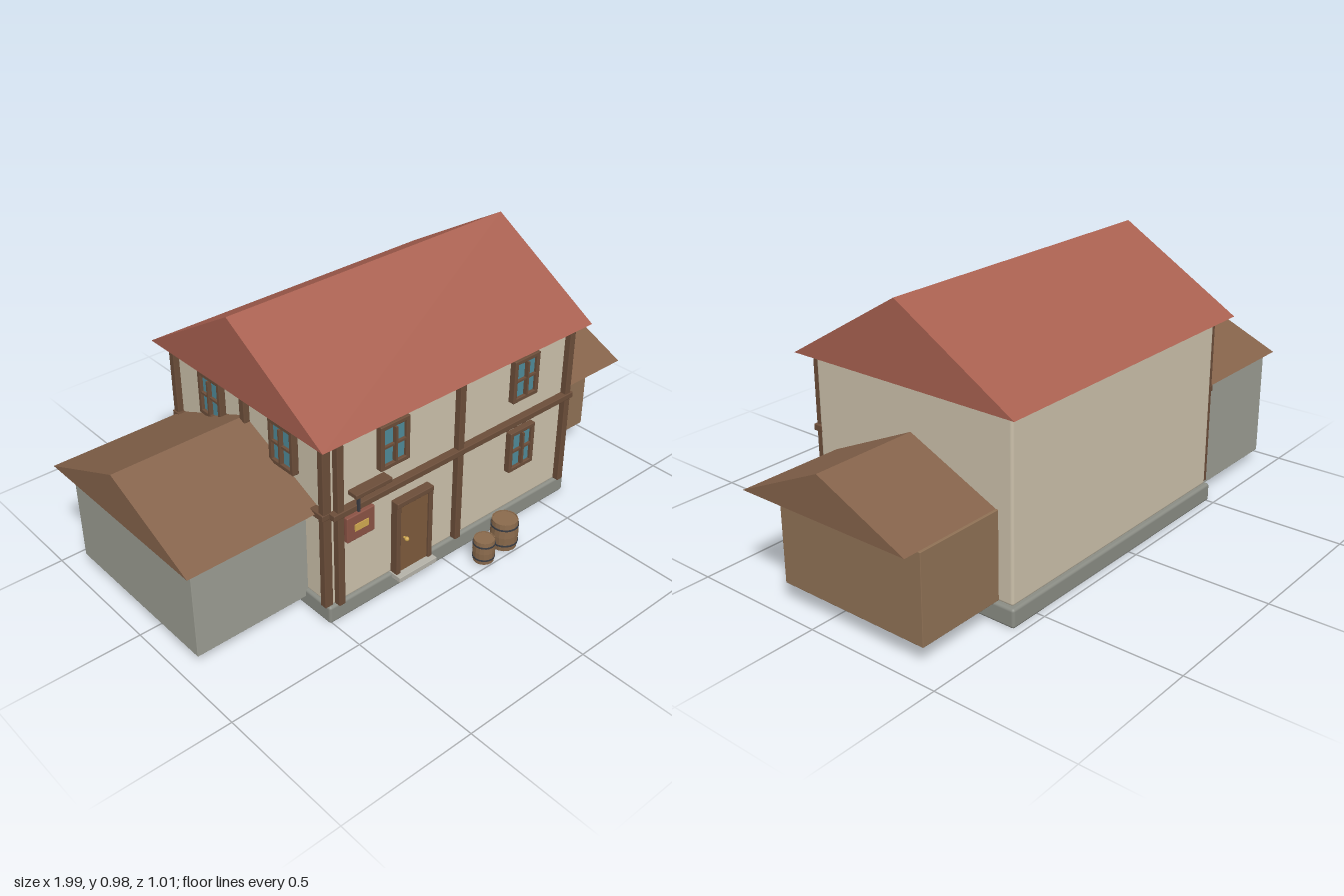
import * as THREE from 'three';
import { RoundedBoxGeometry } from 'three/addons/geometries/RoundedBoxGeometry.js';

const mat = (color) => new THREE.MeshStandardMaterial({ color });
const M = {
  plaster: mat(0xcbc0aa), stone: mat(0x8a8c84), greyWall: mat(0x9b9c92), roof: mat(0xa86050),
  shed: mat(0x8f7155), shedRoof: mat(0x84624a), timber: mat(0x6b4d39), door: mat(0x7d5a3c),
  glass: mat(0x4f8a98), sign: mat(0x8a5244), gold: mat(0xd0a850), iron: mat(0x3a3c42),
  step: mat(0xb4b2a8), barrel: mat(0x8a6a4c),
};

function add(parent, name, geometry, material, x = 0, y = 0, z = 0) {
  const mesh = new THREE.Mesh(geometry, material);
  mesh.name = name;
  mesh.position.set(x, y, z);
  parent.add(mesh);
  return mesh;
}

// Box given by its limits on each axis, with an optional rounded edge
function box(parent, name, material, [x0, x1], [y0, y1], [z0, z1], r = 0) {
  const s = [x1 - x0, y1 - y0, z1 - z0];
  const g = r ? new RoundedBoxGeometry(...s, 2, r) : new THREE.BoxGeometry(...s);
  return add(parent, name, g, material, (x0 + x1) / 2, (y0 + y1) / 2, (z0 + z1) / 2);
}

// Solid gable roof with its ridge along x
function gableRoof(parent, name, material, [x0, x1], [y0, y1], [z0, z1]) {
  const shape = new THREE.Shape();
  shape.moveTo(-z1, y0);
  shape.lineTo(-z0, y0);
  shape.lineTo(-(z0 + z1) / 2, y1);
  shape.closePath();
  const g = new THREE.ExtrudeGeometry(shape, { depth: x1 - x0, bevelEnabled: false });
  g.rotateY(Math.PI / 2);
  return add(parent, name, g, material, x0);
}

// Window facing +z, centred on its origin, back at z = 0
function makeWindow() {
  const w = new THREE.Group();
  w.name = 'window';
  const W = 0.061, H = 0.082, f = 0.016;
  for (const s of [-1, 1]) {
    const a = s * W, b = s * (W - f), c = s * H, d = s * (H - f);
    box(w, 'frameSide', M.timber, [Math.min(a, b), Math.max(a, b)], [-H, H], [0, 0.025], 0.003);
    box(w, 'frameRail', M.timber, [-W, W], [Math.min(c, d), Math.max(c, d)], [0, 0.025], 0.003);
  }
  box(w, 'glass', M.glass, [-W + f, W - f], [-H + f, H - f], [0, 0.014]);
  box(w, 'mullion', M.timber, [-0.004, 0.004], [-0.064, 0.064], [0.008, 0.03]);
  box(w, 'glazingBar', M.timber, [-W + f, W - f], [-0.004, 0.004], [0.008, 0.024]);
  return w;
}

// Slightly bulging barrel with two hoops
function makeBarrel(r, h) {
  const b = new THREE.Group();
  b.name = 'barrel';
  const pts = [[0, 0], [0.92, 0], [0.95, 0.15], [1, 0.5], [0.95, 0.85], [0.92, 1], [0.86, 1], [0.86, 0.97], [0, 0.97]];
  const g = new THREE.LatheGeometry(pts.map(([x, y]) => new THREE.Vector2(x * r, y * h)), 16).toNonIndexed();
  g.computeVertexNormals();
  add(b, 'staves', g, M.barrel);
  for (const t of [0.2, 0.8]) add(b, 'hoop', new THREE.CylinderGeometry(r, r, 0.006, 20), M.iron, 0, t * h, 0);
  return b;
}

export function createModel() {
  const house = new THREE.Group();
  house.name = 'house';

  // Main building
  box(house, 'foundation', M.stone, [-0.51, 0.62], [0, 0.068], [-0.475, 0.368], 0.01);
  box(house, 'walls', M.plaster, [-0.5, 0.605], [0.066, 0.704], [-0.46, 0.358], 0.01);
  gableRoof(house, 'mainRoof', M.roof, [-0.55, 0.657], [0.704, 0.976], [-0.51, 0.4]);

  // Side annexes
  box(house, 'rightAnnex', M.shed, [0.55, 0.94], [0.07, 0.378], [-0.405, 0.18], 0.002);
  gableRoof(house, 'rightAnnexRoof', M.shedRoof, [0.55, 0.993], [0.378, 0.533], [-0.396, 0.285]);
  box(house, 'leftAnnex', M.greyWall, [-0.94, -0.45], [0.04, 0.432], [-0.43, 0.243], 0.002);
  gableRoof(house, 'leftAnnexRoof', M.shedRoof, [-1, -0.45], [0.432, 0.6], [-0.44, 0.325]);

  // Timber framing on the front and left walls
  for (const x of [-0.468, 0.053, 0.584])
    box(house, 'frontPost', M.timber, [x - 0.013, x + 0.013], [0.07, 0.704], [0.35, 0.382], 0.003);
  box(house, 'frontBeam', M.timber, [-0.5, 0.607], [0.42, 0.443], [0.35, 0.386], 0.003);
  for (const z of [-0.44, -0.045, 0.348])
    box(house, 'sidePost', M.timber, [-0.522, -0.49], [0.07, 0.704], [z - 0.013, z + 0.013], 0.003);
  box(house, 'sideBeam', M.timber, [-0.527, -0.49], [0.42, 0.443], [-0.455, 0.362], 0.003);

  // Windows
  for (const [x, y] of [[-0.245, 0.6], [0.354, 0.6], [0.354, 0.315]]) {
    const w = makeWindow();
    w.position.set(x, y, 0.36);
    house.add(w);
  }
  for (const z of [-0.22, 0.16]) {
    const w = makeWindow();
    w.rotation.y = -Math.PI / 2;
    w.position.set(-0.502, 0.6, z);
    house.add(w);
  }

  // Door with frame, knob and step
  const door = new THREE.Group();
  door.name = 'frontDoor';
  house.add(door);
  box(door, 'jamb', M.timber, [-0.238, -0.22], [0.066, 0.36], [0.35, 0.388], 0.003);
  box(door, 'jamb', M.timber, [-0.095, -0.077], [0.066, 0.36], [0.35, 0.388], 0.003);
  box(door, 'lintel', M.timber, [-0.238, -0.077], [0.342, 0.362], [0.35, 0.39], 0.003);
  box(door, 'doorLeaf', M.door, [-0.22, -0.095], [0.066, 0.342], [0.35, 0.38]);
  add(door, 'knob', new THREE.SphereGeometry(0.008, 12, 8), M.gold, -0.2, 0.207, 0.394);
  add(door, 'knobStem', new THREE.CylinderGeometry(0.004, 0.004, 0.02, 8), M.gold, -0.2, 0.207, 0.384).rotation.x = Math.PI / 2;
  box(door, 'step', M.step, [-0.242, -0.072], [0.05, 0.07], [0.35, 0.408], 0.002);

  // Hanging sign
  const sign = new THREE.Group();
  sign.name = 'hangingSign';
  house.add(sign);
  box(sign, 'bracketBar', M.timber, [-0.42, -0.27], [0.474, 0.491], [0.355, 0.399], 0.003);
  box(sign, 'hanger', M.iron, [-0.409, -0.4], [0.41, 0.476], [0.386, 0.394]);
  box(sign, 'board', M.sign, [-0.46, -0.345], [0.325, 0.421], [0.382, 0.4], 0.004);
  box(sign, 'plate', M.gold, [-0.43, -0.374], [0.36, 0.386], [0.395, 0.403]);

  // Barrels
  for (const [x, y, z, r, h] of [[0.099, 0.008, 0.465, 0.04, 0.09], [0.21, 0.01, 0.455, 0.05, 0.112]]) {
    const b = makeBarrel(r, h);
    b.position.set(x, y, z);
    house.add(b);
  }
  return house;
}
